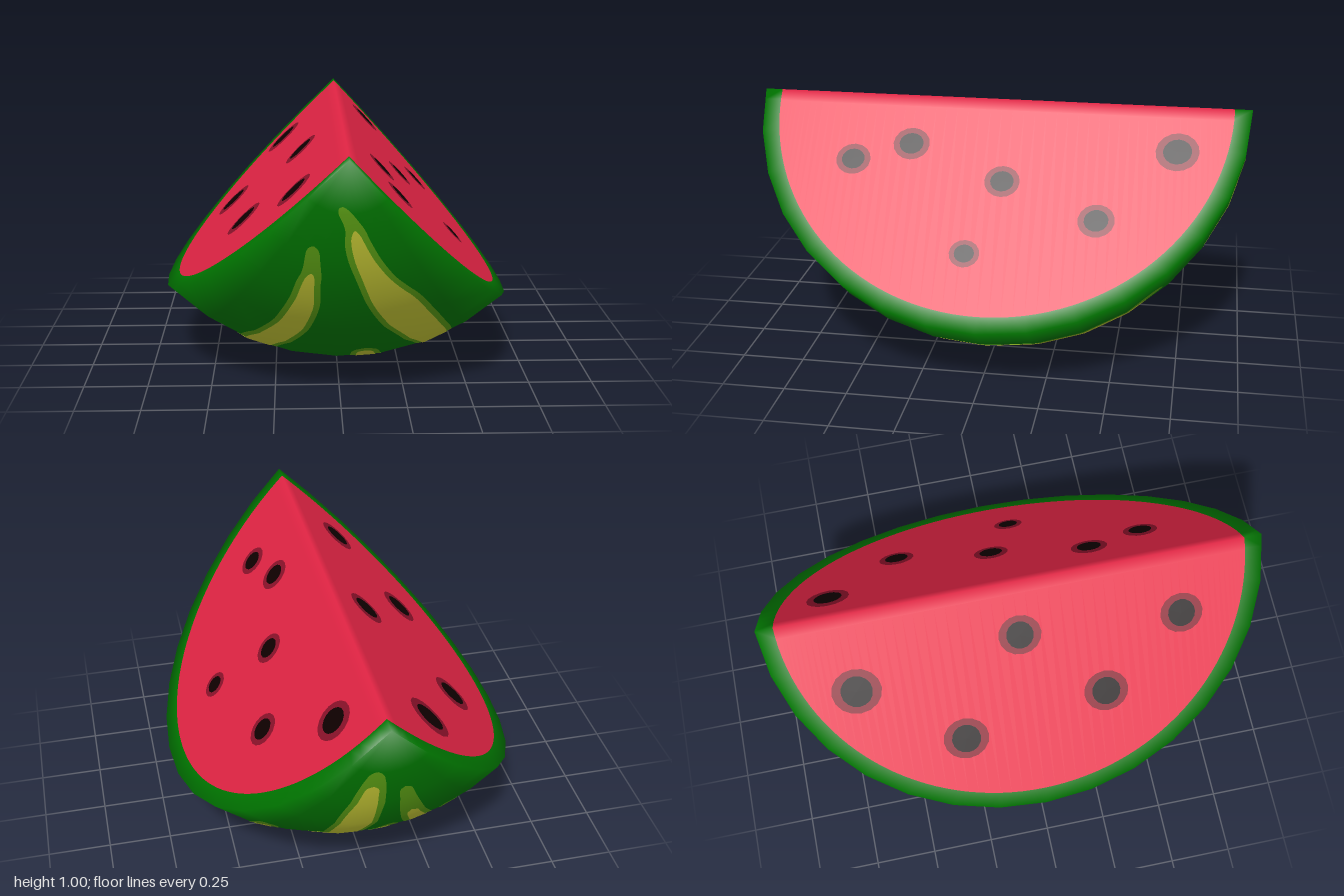
import * as THREE from 'three';

const RAD = Math.PI / 180, CX = 0.02, LOW = -46.3, HIGH = 43.1, NU = 8, NV = 16;
const V = (x, y, z) => new THREE.Vector3(x, y, z);
const UP = V(0, 1, 0);
const mat = (name, color, extra = {}) => Object.assign(new THREE.MeshStandardMaterial({ color, ...extra }), { name });

// grid surface from f(i, j) -> [point, normal]; winding follows the normals
function grid(ni, nj, f) {
  const pts = [], nrm = [], index = [];
  for (let i = 0; i <= ni; i++) for (let j = 0; j <= nj; j++) {
    const [p, n] = f(i, j);
    pts.push(p); nrm.push(n);
  }
  const tri = (a, b, c) => {
    const face = pts[b].clone().sub(pts[a]).cross(pts[c].clone().sub(pts[a]));
    if (face.length() < 1e-9) return;
    const out = nrm[a].clone().add(nrm[b]).add(nrm[c]);
    index.push(...(face.dot(out) > 0 ? [a, b, c] : [a, c, b]));
  };
  for (let i = 0; i < ni; i++) for (let j = 0; j < nj; j++) {
    const a = i * (nj + 1) + j, b = a + nj + 1;
    tri(a, b, b + 1); tri(a, b + 1, a + 1);
  }
  const g = new THREE.BufferGeometry();
  g.setAttribute('position', new THREE.Float32BufferAttribute(pts.flatMap(p => p.toArray()), 3));
  g.setAttribute('normal', new THREE.Float32BufferAttribute(nrm.flatMap(n => n.toArray()), 3));
  g.setIndex(index);
  return g;
}

// the two cut faces: direction away from the ridge, and outward normal
const cuts = [LOW, HIGH].map((angle, k) => {
  const a = angle * RAD, s = k ? 1 : -1;
  return { angle, dir: V(Math.sin(a), -Math.cos(a), 0), normal: V(s * Math.cos(a), s * Math.sin(a), 0) };
});
const onCut = (cut, s, z) => V(CX, 1, z).addScaledVector(cut.dir, s);

// corner of the faceted rind, normals softened along the rim
function skinCorner(i, j) {
  const a = (LOW + (HIGH - LOW) * i / NU) * RAD, v = Math.PI * j / NV;
  const r = V(Math.sin(v) * Math.sin(a), -Math.sin(v) * Math.cos(a), Math.cos(v));
  const n = r.clone();
  if (j === 0 || j === NV) n.add(UP);
  else if (i === 0) n.add(cuts[0].normal);
  else if (i === NU) n.add(cuts[1].normal);
  return [r.add(V(CX, 1, 0)), n.normalize()];
}

// any point on the facets, angles in degrees, raised by lift
function skinPoint(a, v, lift) {
  const u = THREE.MathUtils.clamp((a - LOW) / (HIGH - LOW) * NU, 0, NU);
  const w = v / 180 * NV;
  const i = Math.min(Math.floor(u), NU - 1), j = Math.min(Math.floor(w), NV - 1);
  const c = [skinCorner(i, j), skinCorner(i + 1, j), skinCorner(i, j + 1), skinCorner(i + 1, j + 1)];
  const mix = k => c[0][k].clone().lerp(c[1][k], u - i).lerp(c[2][k].clone().lerp(c[3][k], u - i), w - j);
  const n = mix(1).normalize();
  return [mix(0).addScaledVector(n, lift), n];
}

// stripes in degrees: core rows are [angle from the front tip, low side, high side],
// start and end are the [angle from the front tip, angle about the axis] of the darker edge
const stripes = [
  { start: [9.7, -8], end: [133.5, 32],
    core: [[15, 2, 7], [18, 1.5, 10], [28, 6.5, 17.5], [37, 10, 24], [57, 18, 27], [77, 21, 26.3], [110, 20.5, 27], [129, 27.5, 31.5]] },
  { start: [20, -21], end: [162, -13.5],
    core: [[27, -18.5, -15], [30, -19, -14], [36, -19, -12], [46, -20.5, -13], [62, -24.5, -17.5], [95, -25, -20],
      [124, -21, -15.5], [149, -17, -12]] },
  { start: [58, 5.5], end: [138, -7],
    core: [[61, 3.8, 7.2], [65, 3.2, 7.8], [90, 3.5, 8.3], [124, -3.5, 3.5], [135, -8, -3.5]] },
  { start: [111, 14], end: [169, 12],
    core: [[116, 11.5, 14.5], [121, 9.5, 14.5], [135, 3.5, 13], [150, 2, 15], [164, 5, 15]] },
  { start: [82, -36], end: [137, -26.5],
    core: [[86, -37.5, -35], [100, -38, -33.5], [113, -37, -31], [132, -29.5, -25.5]] },
];

// the edge is the core widened by a constant margin and run on to its tips
function edgeRows({ start, end, core }) {
  const rows = [[start[0], start[1], start[1]], ...core, [end[0], end[1], end[1]]];
  return rows.map(([v, lo, hi]) => {
    const margin = 1.3 / Math.sin(v * RAD);
    return [v, lo - margin, hi + margin];
  });
}

// band over the facets with rounded ends
function stripeGeometry(rows, lift) {
  const path = new THREE.CatmullRomCurve3(rows.map(r => V(...r)), false, 'centripetal');
  const steps = rows.length * 16, first = rows[0][0], last = rows.at(-1)[0];
  const samples = Array.from({ length: steps + 1 }, (_, j) => path.getPoint(j / steps));
  return grid(16, steps, (i, j) => {
    const { x, y, z } = samples[j];
    const t = THREE.MathUtils.clamp(Math.min(x - first, last - x) / 2, 0, 1);
    const cap = Math.max(0.02, Math.sqrt(1 - (1 - t) ** 2));
    return skinPoint((y + z) / 2 + (z - y) * cap * (i / 16 - 0.5), x, lift);
  });
}

// seeds per cut face: [distance from ridge, z, tilt, scale]
const seeds = [
  [[0.33, -0.67, 0, 1.04], [0.63, -0.28, 0, 0.97], [0.225, 0, 0, 0.9], [0.54, 0.31, 0, 0.95], [0.264, 0.65, 0, 0.9]],
  [[0.30, 0.58, 0, 1], [0.22, 0.35, 0, 1.05], [0.365, -0.035, 0, 1], [0.51, -0.42, 0.25, 1.03],
    [0.2, -0.715, 0.35, 1.22], [0.678, 0.08, 0, 0.85]],
];
const seedSizes = [
  { seed: [0.061, 0.065], halo: [0.096, 0.094] },
  { seed: [0.047, 0.044], halo: [0.071, 0.067] },
];

export function createModel() {
  const model = new THREE.Group();
  model.name = 'watermelonSlice';
  const green = mat('rind green', 0x007600);
  const olive = mat('stripe edge green', 0x5a9c14, { side: THREE.DoubleSide });
  const yellow = mat('stripe yellow', 0xc4c634, { side: THREE.DoubleSide });
  const red = mat('flesh red', 0xe22444);
  const darkRed = mat('seed halo red', 0x8a122a);
  const black = mat('seed black', 0x0e0000);
  const add = (name, geometry, material) => {
    const m = new THREE.Mesh(geometry, material);
    m.name = name;
    model.add(m);
    return m;
  };

  // outer rind with its painted stripes
  add('rind', grid(NU, NV, skinCorner), green);
  for (const s of stripes) {
    add('stripeEdge', stripeGeometry(edgeRows(s), 0.002), olive);
    add('stripeCore', stripeGeometry(s.core, 0.004), yellow);
  }

  const fine = NV * 4;
  cuts.forEach((cut, k) => {
    // flesh: a soft strip along the ridge, then the flat cut
    add('flesh', grid(2, fine, (i, j) => {
      const v = Math.PI * j / fine, full = 0.93 * Math.sin(v);
      const s = [0, Math.min(0.05, full), full][i];
      return [onCut(cut, s, 0.93 * Math.cos(v)), (s < 1e-6 ? UP : cut.normal).clone()];
    }), red);

    // cut edge of the rind
    add('rindEdge', grid(1, fine, (i, j) => {
      if (i) return skinPoint(cut.angle, 180 * j / fine, 0);
      const v = Math.PI * j / fine, tip = j === 0 || j === fine;
      return [onCut(cut, 0.93 * Math.sin(v), 0.93 * Math.cos(v)), (tip ? UP : cut.normal).clone()];
    }), green);

    // seeds, each in a dark halo
    const basis = new THREE.Matrix4().makeBasis(cut.dir.clone().cross(cut.normal), cut.dir, cut.normal);
    for (const [s, z, tilt, scale] of seeds[k]) {
      for (const [name, size, lift, material] of [['seedHalo', 'halo', 0.002, darkRed], ['seed', 'seed', 0.004, black]]) {
        const [w, h] = seedSizes[k][size];
        const g = new THREE.CircleGeometry(scale, 16).scale(w, h, 1).rotateZ(tilt).applyMatrix4(basis);
        add(name, g, material).position.copy(onCut(cut, s, z)).addScaledVector(cut.normal, lift);
      }
    }
  });
  return model;
}
